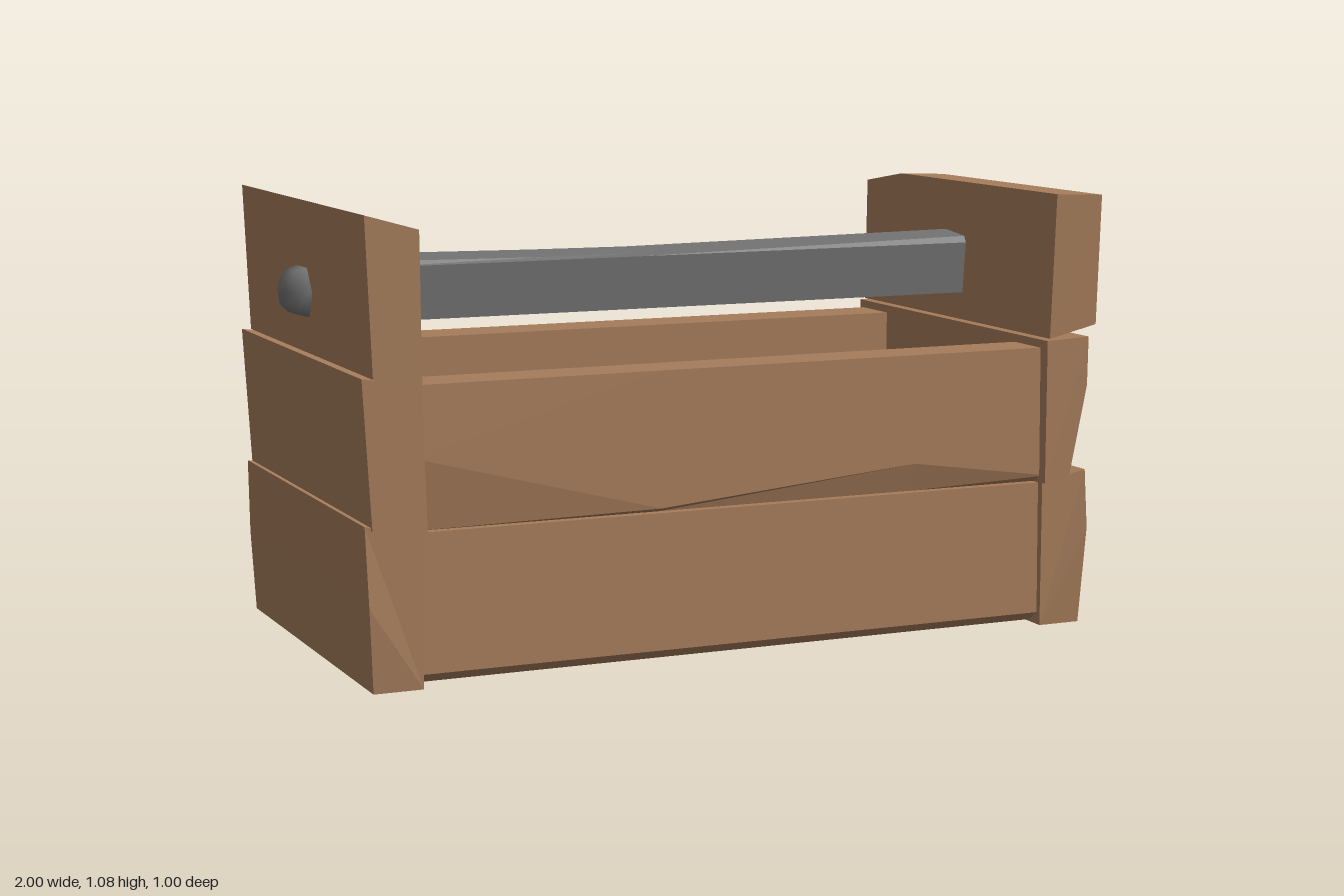
import * as THREE from 'three';

// Closed solid lofted through cross-sections (arrays of [x, y, z]), flat-shaded
function loft(sections) {
  const tris = [];
  const n = sections[0].length;
  for (let s = 0; s < sections.length - 1; s++) {
    const a = sections[s], b = sections[s + 1];
    for (let i = 0; i < n; i++) {
      const j = (i + 1) % n;
      tris.push([a[i], b[i], b[j]], [a[i], b[j], a[j]]);
    }
  }
  const first = sections[0], last = sections[sections.length - 1];
  for (let i = 1; i < n - 1; i++) {
    tris.push([first[0], first[i], first[i + 1]], [last[0], last[i + 1], last[i]]);
  }
  // Turn the faces outward, using the signed volume
  let volume = 0;
  for (const [a, b, c] of tris) {
    volume += new THREE.Vector3(...a).dot(new THREE.Vector3(...b).cross(new THREE.Vector3(...c)));
  }
  if (volume < 0) tris.forEach((t) => t.reverse());
  const geometry = new THREE.BufferGeometry();
  geometry.setAttribute('position', new THREE.Float32BufferAttribute(tris.flat(2), 3));
  geometry.computeVertexNormals();
  return geometry;
}

export function createModel() {
  const model = new THREE.Group();
  model.name = 'toolbox';
  const wood = new THREE.MeshStandardMaterial({ name: 'wood', color: 0xa57c5a });
  const metal = new THREE.MeshStandardMaterial({ name: 'grey metal', color: 0x717171 });

  const add = (name, geometry, material) => {
    const mesh = new THREE.Mesh(geometry, material);
    mesh.name = name;
    model.add(mesh);
  };
  // End plank: sections [z, [[x, y, dz], ...]] running front to back
  const endPlank = (name, sections) =>
    add(name, loft(sections.map(([z, pts]) => pts.map(([x, y, dz = 0]) => [x, y, z + dz]))), wood);
  // Long plank: sections [x, [[z, y], ...]] running right to left
  const longPlank = (name, sections, material = wood) =>
    add(name, loft(sections.map(([x, pts]) => pts.map(([z, y]) => [x, y, z]))), material);

  // Left end wall, three uneven planks
  endPlank('leftLowerPlank', [
    [0.485, [[0.8, 0], [0.91, 0], [0.925, 0.24, 0.01], [0.925, 0.385, -0.005], [0.8, 0.36]]],
    [-0.485, [[0.8, 0], [0.91, 0], [0.925, 0.24, -0.008], [0.92, 0.38], [0.8, 0.36]]],
  ]);
  endPlank('leftMiddlePlank', [
    [0.498, [[0.8, 0.36], [0.87, 0.38], [0.915, 0.6], [0.92, 0.72, -0.005], [0.8, 0.715]]],
    [0.12, [[0.8, 0.36], [0.912, 0.384], [0.915, 0.55], [0.92, 0.72], [0.8, 0.715]]],
    [-0.495, [[0.8, 0.36], [0.912, 0.38], [0.915, 0.55], [0.92, 0.72], [0.8, 0.715]]],
  ]);
  endPlank('leftUpperPlank', [
    [0.5, [[0.808, 0.72, -0.005], [0.938, 0.75, -0.005], [0.945, 1.07], [0.818, 1.075]]],
    [-0.3, [[0.808, 0.72], [0.938, 0.739], [0.945, 1.07], [0.818, 1.075]]],
    [-0.495, [[0.808, 0.72, 0.01], [0.935, 0.736, 0.01], [0.935, 1.035], [0.818, 1.045]]],
  ]);

  // Right end wall
  endPlank('rightLowerPlank', [
    [0.485, [[-0.815, 0], [-0.935, 0], [-0.945, 0.2, 0.01], [-0.95, 0.385], [-0.815, 0.36]]],
    [-0.485, [[-0.815, 0], [-0.935, 0], [-0.945, 0.2, -0.008], [-0.95, 0.385], [-0.815, 0.36]]],
  ]);
  endPlank('rightMiddlePlank', [
    [0.495, [[-0.805, 0.36], [-0.935, 0.375], [-0.955, 0.72], [-0.815, 0.7]]],
    [-0.495, [[-0.805, 0.36], [-0.935, 0.375], [-0.955, 0.72], [-0.815, 0.7]]],
  ]);
  endPlank('rightUpperPlank', [
    [0.5, [[-0.815, 0.69], [-0.93, 0.718], [-0.945, 1.083], [-0.818, 1.047]]],
    [-0.5, [[-0.815, 0.69], [-0.93, 0.718], [-0.945, 1.083], [-0.818, 1.047]]],
  ]);

  // Front and back walls: lower planks with a bevelled foot, upper ones with a hewn lower edge
  for (const [name, side, outer, hewn] of [
    ['front', 1, 0.47, [[-0.83, 0.53], [-0.22, 0.37], [0.45, 0.43], [0.82, 0.375]]],
    ['back', -1, 0.48, [[-0.83, 0.38], [0, 0.37], [0.45, 0.44], [0.82, 0.4]]],
  ]) {
    const foot = [[0.337, 0.005], [outer - 0.035, 0.005], [outer, 0.03], [outer - 0.005, 0.358], [0.337, 0.358]]
      .map(([z, y]) => [z * side, y]);
    longPlank(name + 'LowerPlank', [[-0.83, foot], [0.82, foot]]);
    longPlank(name + 'UpperPlank', hewn.map(([x, y]) => [x,
      [[0.34, 0.36], [outer - 0.02, 0.36], [outer, y], [outer - 0.005, 0.695], [0.34, 0.695]]
        .map(([z, h]) => [z * side, h])]));
  }

  // Floor board
  const floor = [[-0.332, 0.012], [0.332, 0.012], [0.332, 0.12], [-0.332, 0.12]];
  longPlank('floor', [[-0.83, floor], [0.82, floor]]);

  // Handle bar with an uneven worn top edge
  longPlank('handleBar', [[-0.86, 0.05, 0.945], [-0.35, 0.05, 0.937], [-0.1, 0.028, 0.935], [0.86, 0.052, 0.947]]
    .map(([x, z, top]) => [x, [[-0.05, 0.79], [0.055, 0.79], [0.062, 0.92], [z, top - 0.01], [-0.045, top], [-0.065, top - 0.025]]]), metal);

  // Domed handle ends outside the walls
  const dome = [[0.066, 0.9], [0.066, 0.945], [0.058, 0.97], [0.036, 0.991], [0, 1]]
    .map(([r, d]) => new THREE.Vector2(r, d));
  for (const [name, side] of [['leftHandleKnob', 1], ['rightHandleKnob', -1]]) {
    const knob = new THREE.LatheGeometry(dome, 6);
    knob.rotateZ(-side * Math.PI / 2);
    knob.translate(0, 0.866, 0);
    add(name, knob, metal);
  }
  return model;
}
